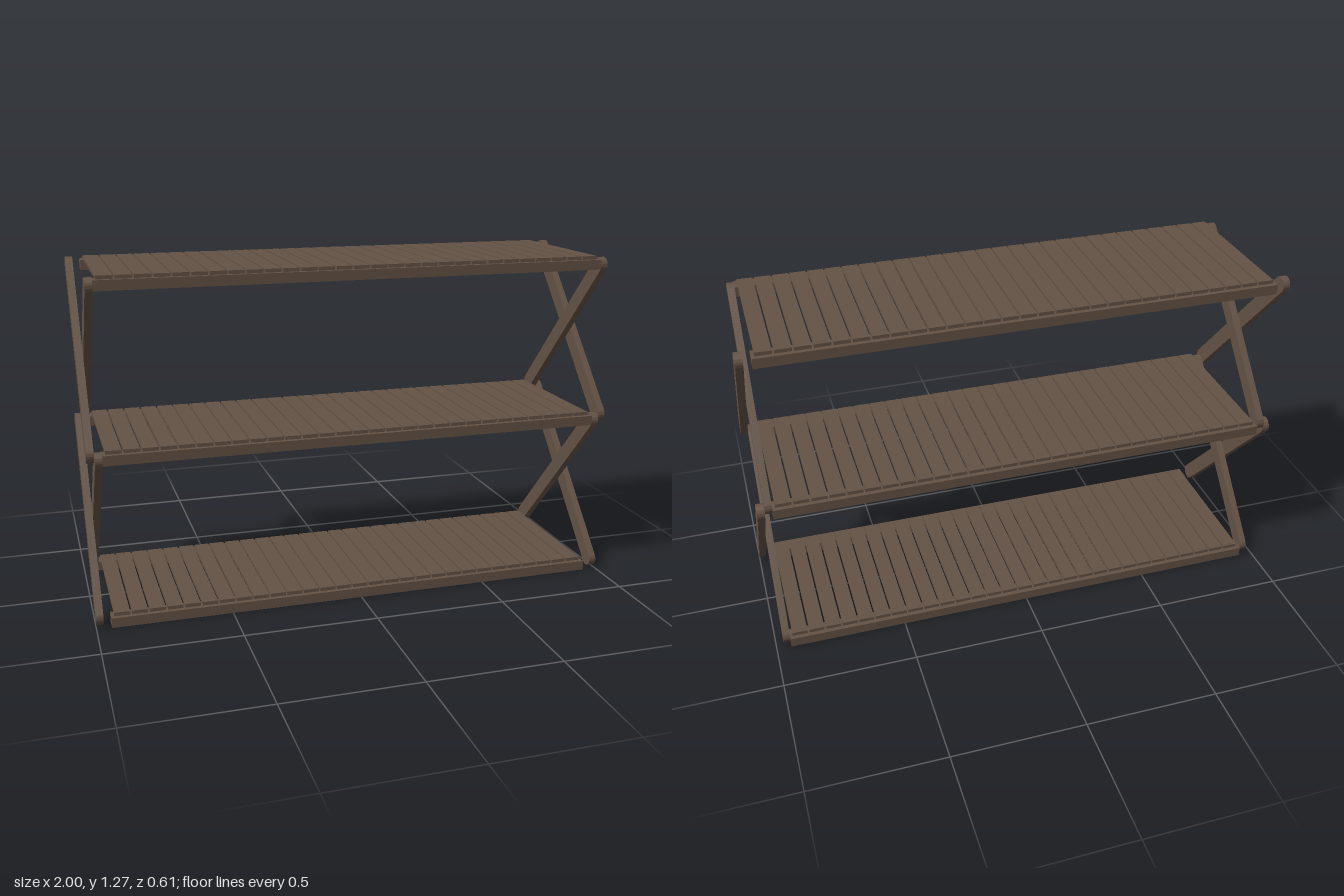
import * as THREE from 'three';
import { toCreasedNormals } from 'three/addons/utils/BufferGeometryUtils.js';

const wood = new THREE.MeshStandardMaterial({ color: 0x645245 });
wood.name = 'brown wood';

const SHELF_Y = [0, 0.611, 1.222]; // underside of each shelf
const RAIL_H = 0.037, SLAT_H = 0.013;
const SLATS = 29, SLAT_W = 0.058, SLAT_SPAN = 1.868;
const LEG_R = 0.03, LEG_T = 0.027;

function box(name, w, h, d, x, y, z) {
  const mesh = new THREE.Mesh(new THREE.BoxGeometry(w, h, d), wood);
  mesh.name = name;
  mesh.position.set(x, y, z);
  return mesh;
}

// Flat bar with rounded ends between two (z, y) points, thickness along x
function legBar(name, z0, y0, z1, y1, xCentre) {
  const a = Math.atan2(y1 - y0, z0 - z1);
  const shape = new THREE.Shape();
  shape.absarc(-z1, y1, LEG_R, a - Math.PI / 2, a + Math.PI / 2, false);
  shape.absarc(-z0, y0, LEG_R, a + Math.PI / 2, a + Math.PI * 1.5, false);
  shape.closePath();
  const geo = new THREE.ExtrudeGeometry(shape, { depth: LEG_T, bevelEnabled: false, curveSegments: 16 });
  geo.translate(0, 0, -LEG_T / 2);
  geo.rotateY(Math.PI / 2);
  const mesh = new THREE.Mesh(toCreasedNormals(geo, 0.6), wood);
  mesh.name = name;
  mesh.position.x = xCentre;
  return mesh;
}

// Two long rails carrying a row of crosswise slats
function shelf(y) {
  const group = new THREE.Group();
  group.name = 'shelf';
  group.position.y = y;
  for (const s of [1, -1]) {
    group.add(box(s > 0 ? 'frontRail' : 'backRail', 1.89, RAIL_H, 0.06, 0, RAIL_H / 2, s * 0.275));
  }
  const pitch = (SLAT_SPAN - SLAT_W) / (SLATS - 1);
  for (let i = 0; i < SLATS; i++) {
    const x = (i - (SLATS - 1) / 2) * pitch;
    group.add(box('slat', SLAT_W, SLAT_H, 0.575, x, RAIL_H + SLAT_H / 2, 0));
  }
  return group;
}

export function createModel() {
  const model = new THREE.Group();
  model.name = 'foldingShelf';
  for (const y of SHELF_Y) model.add(shelf(y));

  // Crossed legs, two tiers on each end
  for (const side of [1, -1]) {
    const end = new THREE.Group();
    end.name = side > 0 ? 'leftLegs' : 'rightLegs';
    for (const y of [0, 0.612]) {
      end.add(legBar('outerLeg', 0.275, y + 0.037, -0.27, y + 0.629, side * (1 - LEG_T / 2)));
      end.add(legBar('innerLeg', -0.275, y + 0.043, 0.275, y + 0.624, side * (1 - LEG_T * 1.5 - 0.001)));
    }
    model.add(end);
  }
  return model;
}
